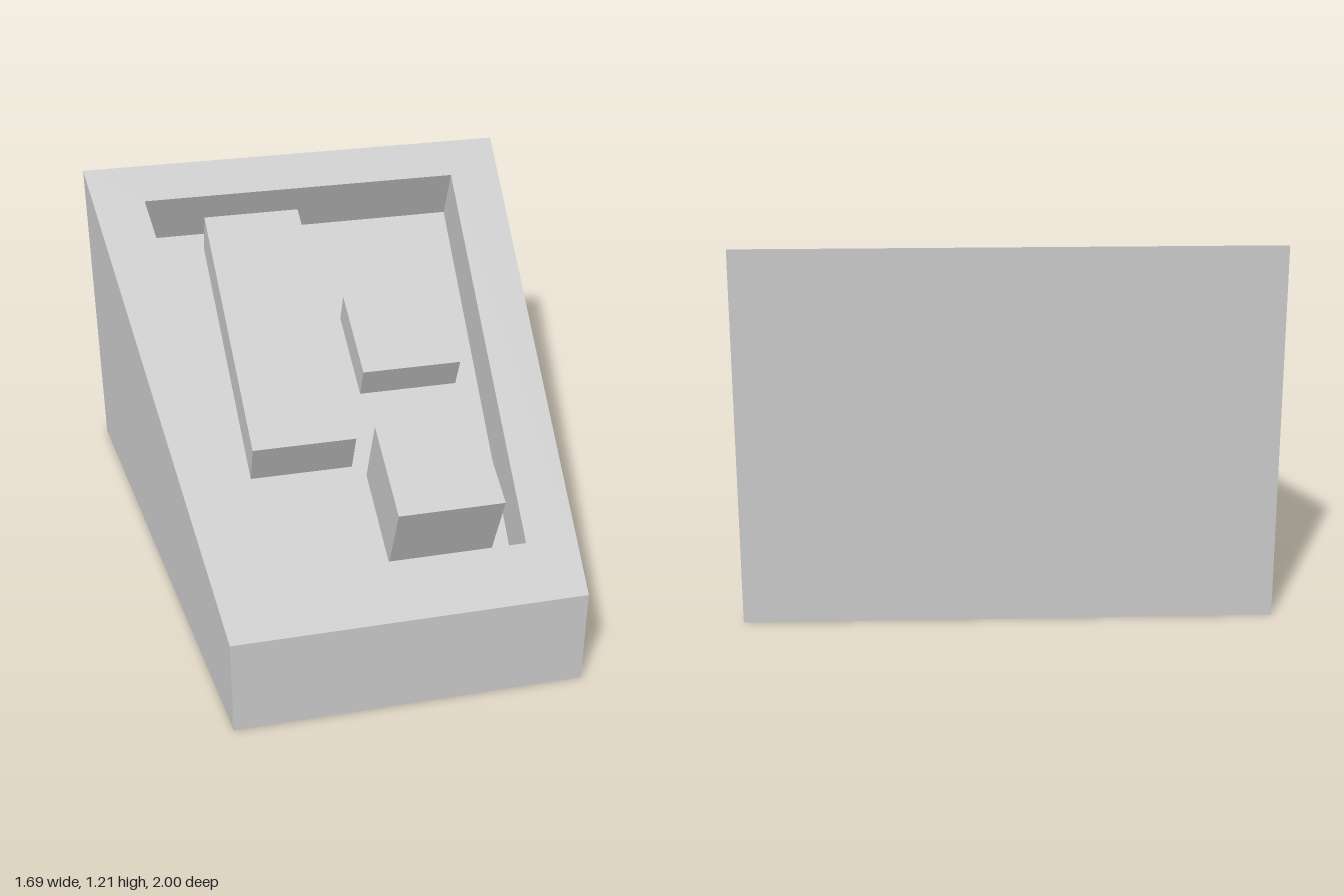
import * as THREE from 'three';

const SLOPE = 0.4275, MID = 0.7825, TILT = Math.atan(SLOPE);
const SIN = Math.sin(TILT), COS = Math.cos(TILT);
const WELL_DEPTH = 0.216;

const material = new THREE.MeshStandardMaterial({ color: 0xcccccc, flatShading: true });
const slopeY = (z) => MID - SLOPE * z;

// Four-cornered ring, counter-clockwise from above: wide at the back, narrow at the front
function ring(frontHalf, backHalf, zFront, zBack, heightAt) {
  return [[-frontHalf, zFront], [frontHalf, zFront], [backHalf, zBack], [-backHalf, zBack]]
    .map(([x, z]) => [x, heightAt(z), z]);
}

function createBody() {
  const base = ring(0.605, 0.845, 1, -1, () => 0);
  const outer = ring(0.605, 0.845, 1, -1, slopeY);
  const inner = ring(0.45, 0.625, 0.79, -0.82, slopeY);
  // The well is sunk at right angles to the sloping face
  const floor = inner.map(([x, y, z]) => [x, y - WELL_DEPTH * COS, z - WELL_DEPTH * SIN]);

  const positions = [];
  const quad = (a, b, c, d) => positions.push(...[a, b, c, a, c, d].flat());

  // Outer walls, sloping rim, then well walls
  const rings = [base, outer, inner, floor];
  for (let r = 0; r < 3; r++) {
    for (let i = 0; i < 4; i++) {
      const j = (i + 1) % 4;
      quad(rings[r][i], rings[r][j], rings[r + 1][j], rings[r + 1][i]);
    }
  }
  quad(...floor);
  quad(...[...base].reverse());

  const geometry = new THREE.BufferGeometry();
  geometry.setAttribute('position', new THREE.Float32BufferAttribute(positions, 3));
  geometry.computeVertexNormals();
  const mesh = new THREE.Mesh(geometry, material);
  mesh.name = 'slopedBody';
  return mesh;
}

// Block standing on the well floor; zFront and zBack are the ends of its top face
function createBlock(name, xMin, xMax, zFront, zBack, height) {
  const length = (zFront - zBack) / COS;
  const mesh = new THREE.Mesh(new THREE.BoxGeometry(xMax - xMin, height, length), material);
  const top = height - WELL_DEPTH;
  mesh.position.set(
    (xMin + xMax) / 2,
    top - height / 2,
    ((zFront + zBack) / 2 - top * SIN) / COS
  );
  mesh.name = name;
  return mesh;
}

export function createModel() {
  const model = new THREE.Group();
  model.name = 'slopedConsole';
  model.add(createBody());

  // Group aligned with the sloping face
  const blocks = new THREE.Group();
  blocks.name = 'panelBlocks';
  blocks.position.y = MID;
  blocks.rotation.x = TILT;
  blocks.add(
    createBlock('longBlock', -0.4, -0.025, 0.28, -0.765, 0.176),
    createBlock('lowBlock', 0.075, 0.45, -0.035, -0.38, 0.131),
    createBlock('tallBlock', 0.02, 0.395, 0.715, 0.37, 0.3)
  );
  model.add(blocks);
  return model;
}
